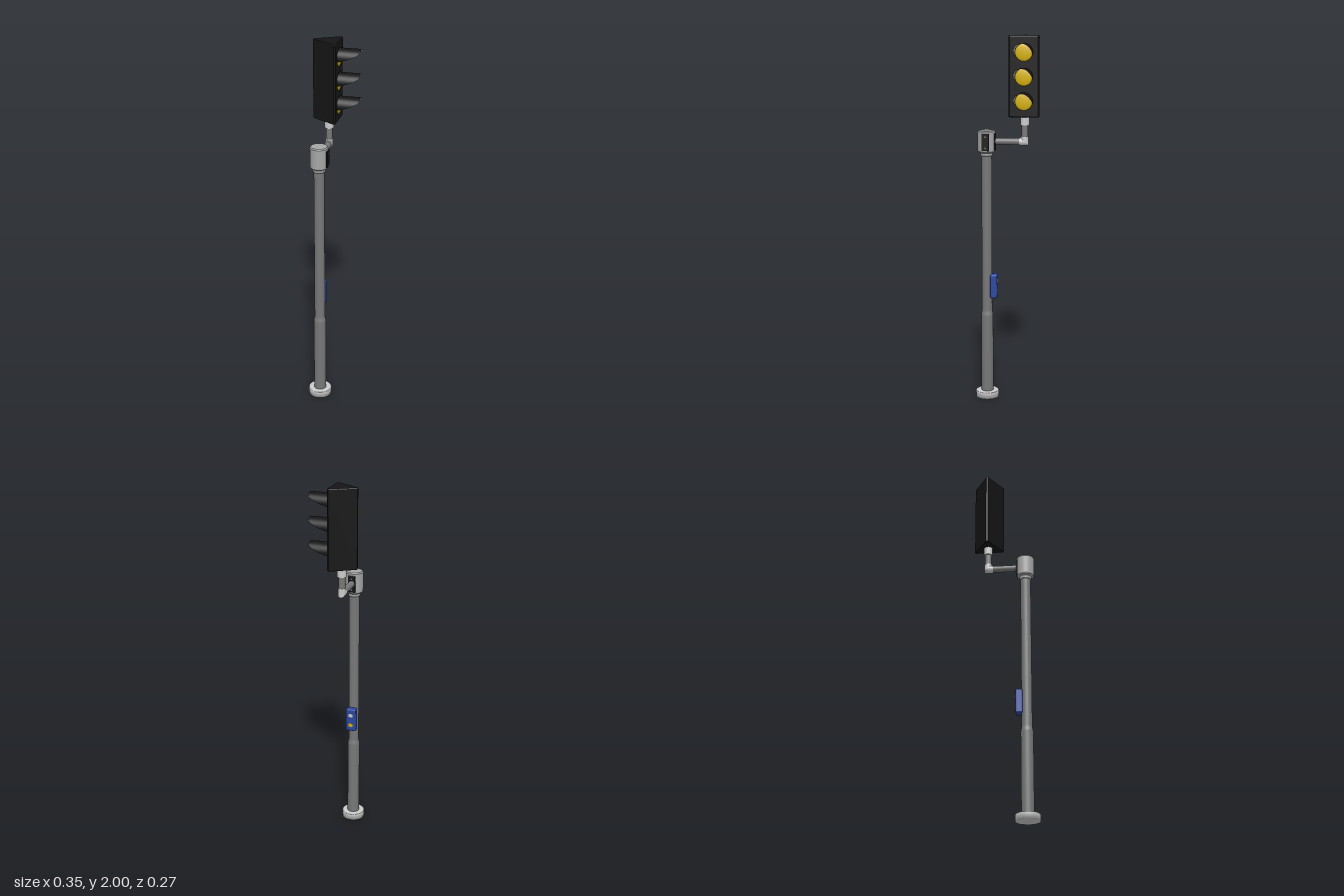
import * as THREE from 'three';
import { RoundedBoxGeometry } from 'three/addons/geometries/RoundedBoxGeometry.js';

const paint = (color) => new THREE.MeshStandardMaterial({ color, side: THREE.DoubleSide });
const light = paint(0xcccccc);
const steel = paint(0x777777);
const capGrey = paint(0xa6a6a6);
const black = paint(0x151515);
const blue = paint(0x2b479f);
const yellow = paint(0xd6b20c);

function add(parent, name, geometry, material, x = 0, y = 0, z = 0) {
  const mesh = new THREE.Mesh(geometry, material);
  mesh.name = name;
  mesh.position.set(x, y, z);
  parent.add(mesh);
  return mesh;
}

const lathe = (profile) =>
  new THREE.LatheGeometry(profile.map(([r, y]) => new THREE.Vector2(r, y)), 32);

// Lathe with hard edges: each profile segment becomes its own smooth band
function turned(parent, name, profile, material) {
  const group = new THREE.Group();
  group.name = name;
  for (let i = 0; i < profile.length - 1; i++) {
    add(group, name + 'Band', lathe(profile.slice(i, i + 2)), material);
  }
  parent.add(group);
}

function rod(parent, name, r, from, to, material) {
  const a = new THREE.Vector3(...from), b = new THREE.Vector3(...to);
  const dir = b.clone().sub(a);
  const mesh = add(parent, name, new THREE.CylinderGeometry(r, r, dir.length(), 24), material);
  mesh.position.copy(a).lerp(b, 0.5);
  mesh.quaternion.setFromUnitVectors(new THREE.Vector3(0, 1, 0), dir.normalize());
}

// Elbow leg whose lower end is cut along the 45 degree mitre plane
function mitredLeg(r, length) {
  const geo = new THREE.CylinderGeometry(r, r, 1, 24);
  const p = geo.attributes.position;
  for (let i = 0; i < p.count; i++) p.setY(i, p.getY(i) > 0 ? length : -p.getX(i));
  geo.computeVertexNormals();
  return geo;
}

// Hood: the upper part of a tube, its front edge swept back towards the sides
function hoodGeometry(r) {
  const spread = 1.85;
  const edge = [[0, 0.116], [0.8, 0.116], [1.15, 0.096], [1.5, 0.058], [spread, 0.004]];
  const geo = new THREE.CylinderGeometry(r, r, 1, 32, 1, true, Math.PI - spread, spread * 2);
  geo.rotateX(Math.PI / 2);
  const p = geo.attributes.position;
  for (let i = 0; i < p.count; i++) {
    const a = Math.min(Math.atan2(Math.abs(p.getX(i)), p.getY(i)), spread);
    const k = Math.max(1, edge.findIndex(([angle]) => angle >= a - 1e-4));
    const reach = THREE.MathUtils.mapLinear(a, edge[k - 1][0], edge[k][0], edge[k - 1][1], edge[k][1]);
    p.setZ(i, p.getZ(i) > 0 ? reach : -0.003);
  }
  geo.computeVertexNormals();
  return geo;
}

// Triangular prism housing with clipped corners and bevelled ends
function housingGeometry() {
  const corners = [[0.134, -0.047], [0.278, -0.047], [0.281, -0.043],
    [0.208, 0.078], [0.204, 0.078], [0.131, -0.043]];
  const shape = new THREE.Shape(corners.map(([x, y]) => new THREE.Vector2(x, y)));
  const geo = new THREE.ExtrudeGeometry(shape, {
    depth: 0.415, bevelEnabled: true, bevelThickness: 0.006, bevelSize: 0.006, bevelSegments: 2,
  });
  return geo.rotateX(-Math.PI / 2);
}

function buildHead(parent) {
  const head = new THREE.Group();
  head.name = 'signalHead';
  add(head, 'housing', housingGeometry(), black, 0, 1.579, 0);
  const dome = new THREE.SphereGeometry(0.046, 32, 8, 0, Math.PI * 2, 0, Math.PI / 2);
  dome.rotateX(Math.PI / 2).scale(1, 1, 0.2);
  for (const y of [1.912, 1.784, 1.656]) {
    add(head, 'lens', dome, yellow, 0.206, y, 0.053);
    add(head, 'hoodOutside', hoodGeometry(0.049), black, 0.206, y, 0.053);
    add(head, 'hoodInside', hoodGeometry(0.0475), light, 0.206, y, 0.053);
  }
  parent.add(head);
}

// Bolted cover plate on the cap
function buildPlate(parent, angle) {
  const plate = new THREE.Group();
  plate.name = 'coverPlate';
  plate.rotation.y = angle;
  add(plate, 'plate', new RoundedBoxGeometry(0.041, 0.092, 0.026, 2, 0.004), black, 0, 1.436, 0.037);
  for (const y of [1.406, 1.466]) {
    const bolt = new THREE.CylinderGeometry(0.005, 0.005, 0.003, 12).rotateX(Math.PI / 2);
    add(plate, 'bolt', bolt, steel, 0, y, 0.0505);
  }
  parent.add(plate);
}

export function createModel() {
  const model = new THREE.Group();
  model.name = 'trafficSignal';

  // Local frame: the arm runs along +x and the lamps face +z
  const body = new THREE.Group();
  body.name = 'signalAssembly';
  body.position.set(-0.112, 0, 0.072);
  body.rotation.y = Math.PI / 4;
  model.add(body);

  // Foot, pole and cap
  add(body, 'foot', lathe([[0, 0], [0.064, 0], [0.064, 0.034], [0.06, 0.037], [0, 0.037]]), light);
  turned(body, 'pole', [[0.033, 0.03], [0.033, 0.475], [0.028, 0.498], [0.028, 1.375]], steel);
  turned(body, 'cap', [[0, 1.36], [0.03, 1.36], [0.033, 1.364], [0.034, 1.376], [0.045, 1.383],
    [0.0475, 1.39], [0.0475, 1.492], [0.043, 1.498], [0, 1.498]], capGrey);
  buildPlate(body, 0);
  buildPlate(body, Math.PI / 2);

  // Arm, mitred elbow and riser
  const ax = 0.207, ay = 1.439;
  rod(body, 'arm', 0.018, [0.04, ay, 0], [0.185, ay, 0], steel);
  const leg = mitredLeg(0.021, 0.028);
  add(body, 'elbowUp', leg, light, ax, ay, 0);
  const across = add(body, 'elbowAcross', leg, light, ax, ay, 0);
  across.quaternion.setFromAxisAngle(new THREE.Vector3(1, -1, 0).normalize(), Math.PI);
  rod(body, 'riser', 0.018, [ax, ay + 0.02, 0], [ax, 1.54, 0], steel);
  rod(body, 'riserCollar', 0.024, [ax, 1.528, 0], [ax, 1.578, 0], light);

  buildHead(body);

  // Push button box
  add(body, 'buttonBox', new RoundedBoxGeometry(0.038, 0.132, 0.056, 3, 0.007), blue, 0.039, 0.639, 0);
  add(body, 'whiteButton', new THREE.BoxGeometry(0.006, 0.02, 0.024), light, 0.057, 0.669, 0);
  add(body, 'yellowButton', new THREE.BoxGeometry(0.006, 0.02, 0.024), yellow, 0.057, 0.61, 0);

  return model;
}
